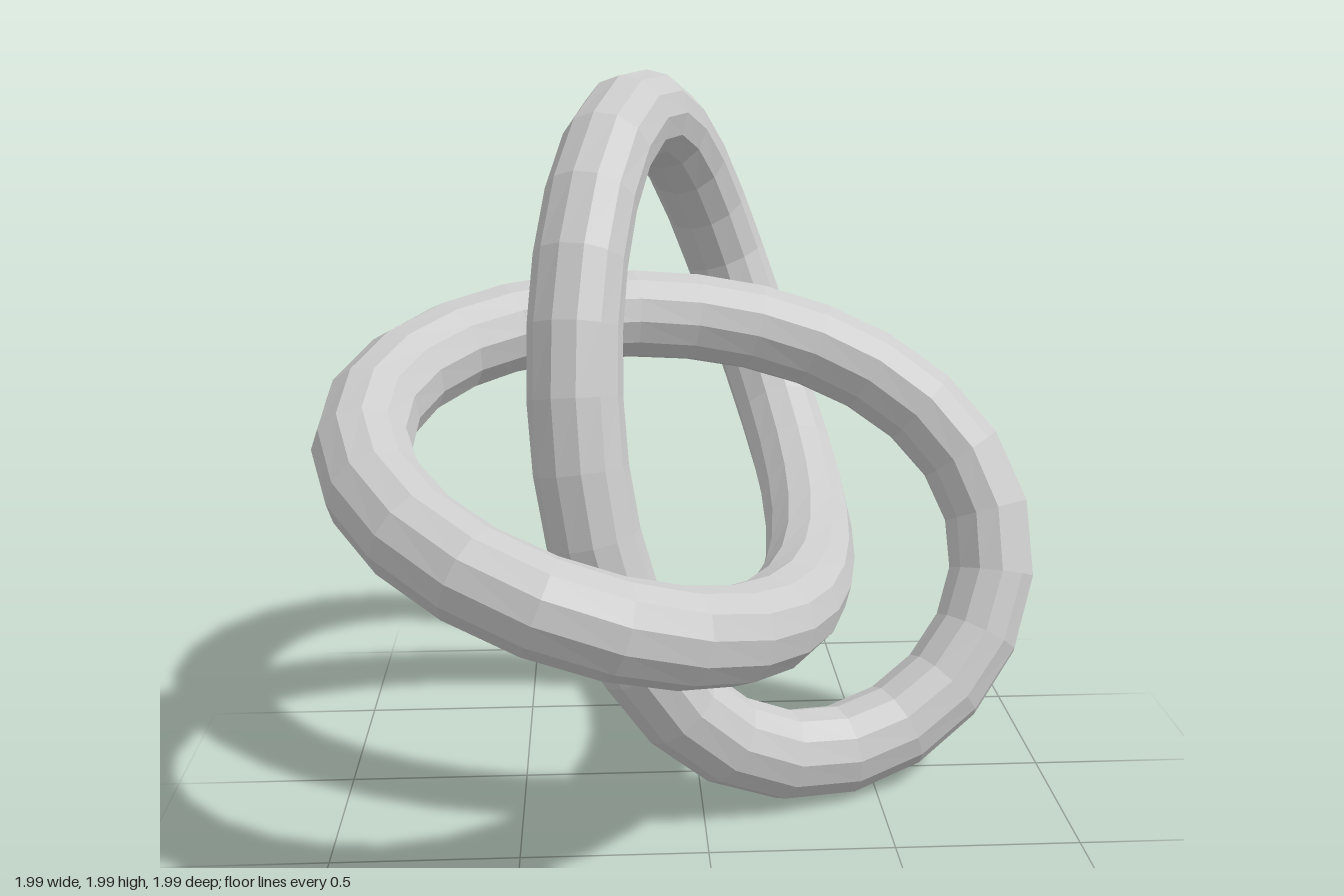
import * as THREE from 'three';

const THIRD = Math.PI * 2 / 3;
const wave = (u) => -(0.232 * Math.sin(u) + 0.6 * Math.sin(2 * u) + 0.152 * Math.sin(3 * u));

// Trefoil with threefold symmetry about the (1, 1, 1) diagonal:
// each axis follows the same wave, shifted by a third of a turn.
class TrefoilCurve extends THREE.Curve {
  getPoint(t, target = new THREE.Vector3()) {
    const u = t * Math.PI * 2;
    const height = wave(u - 2 * THIRD);
    const sag = 0.03 * (1 - (height / 0.875) ** 2); // inner strands hang slightly low
    return target.set(wave(u), 1 + height - sag, wave(u - THIRD));
  }
}

export function createModel() {
  const group = new THREE.Group();
  group.name = 'trefoilKnot';

  // One closed, faceted tube
  const tube = new THREE.Mesh(
    new THREE.TubeGeometry(new TrefoilCurve(), 54, 0.126, 12, true),
    new THREE.MeshStandardMaterial({ color: 0xcccccc, flatShading: true })
  );
  tube.name = 'knotTube';
  group.add(tube);
  return group;
}
